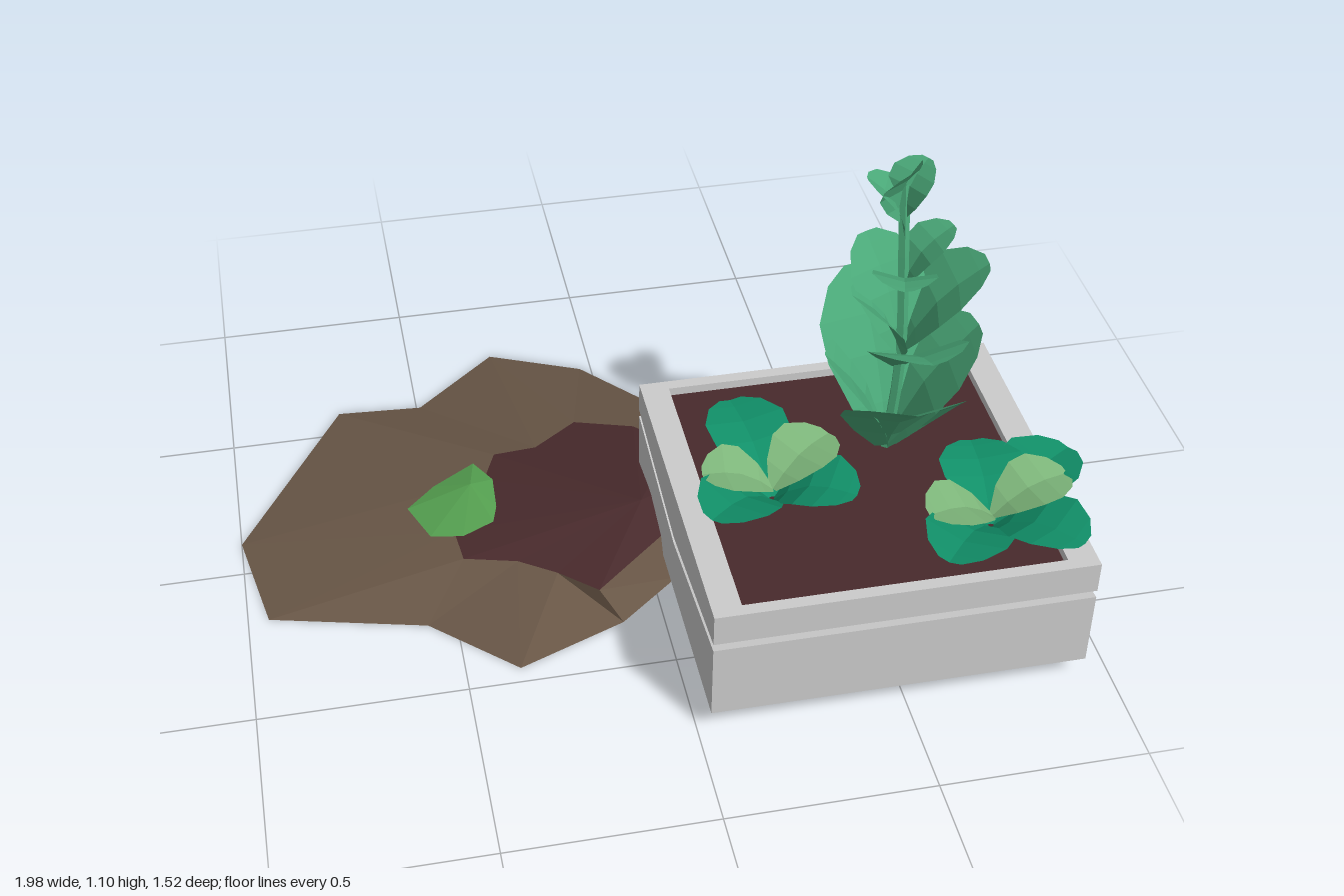
import * as THREE from 'three';

const paint = (color, side = THREE.FrontSide) =>
  new THREE.MeshStandardMaterial({ color, side, flatShading: true });
const V = (a) => new THREE.Vector3(...a);

// Mesh from a list of rings (equal point counts), optionally ended by an apex
function fromRings(name, rings, apex, material, closed = true) {
  const n = rings[0].length, pos = [];
  const last = closed ? n : n - 1;
  const tri = (...p) => p.forEach((q) => pos.push(...q));
  for (let i = 0; i < last; i++) {
    const j = (i + 1) % n;
    for (let r = 0; r < rings.length - 1; r++) {
      const a = rings[r], b = rings[r + 1];
      tri(a[i], b[j], a[j]);
      tri(a[i], b[i], b[j]);
    }
    if (apex) tri(rings[rings.length - 1][i], apex, rings[rings.length - 1][j]);
  }
  const geo = new THREE.BufferGeometry();
  geo.setAttribute('position', new THREE.Float32BufferAttribute(pos, 3));
  geo.computeVertexNormals();
  const mesh = new THREE.Mesh(geo, material);
  mesh.name = name;
  return mesh;
}

// Folded leaf from base to tip; it rises first, then bends outwards
const OUTLINE = [[0, 0.15], [0.22, 0.62], [0.5, 0.97], [0.72, 1], [0.91, 0.68], [1, 0.28]];
function leaf(name, base, tip, width, bow, material) {
  const a = V(base), b = V(tip), dir = b.clone().sub(a).normalize();
  const side = new THREE.Vector3(0, 1, 0).cross(dir).normalize();
  const normal = dir.clone().cross(side);
  const rings = OUTLINE.map(([t, w]) => {
    const mid = a.clone().lerp(b, t).addScaledVector(normal, bow * Math.sin(Math.PI * t));
    return [-1, 0, 1].map((s) => mid.clone()
      .addScaledVector(side, (s * w * width) / 2)
      .addScaledVector(normal, Math.abs(s) * w * width * 0.1).toArray());
  });
  return fromRings(name, rings, null, material, false);
}

function box(name, w, h, d, x, y, z, material) {
  const mesh = new THREE.Mesh(new THREE.BoxGeometry(w, h, d), material);
  mesh.position.set(x, y, z);
  mesh.name = name;
  return mesh;
}

// Side profile (z, y) extruded along x
function slab(name, points, x, width, z, material) {
  const shape = new THREE.Shape(points.map(([u, v]) => new THREE.Vector2(u, v)));
  const geo = new THREE.ExtrudeGeometry(shape, { depth: width, bevelEnabled: false });
  const mesh = new THREE.Mesh(geo.rotateY(Math.PI / 2), material);
  mesh.position.set(x, 0, z);
  mesh.name = name;
  return mesh;
}

function planter(soil) {
  const g = new THREE.Group(), grey = paint(0xcccccc), h = 0.425, z = 0.315;
  g.name = 'planter';
  g.add(slab('planterBase', [[-h, 0.06], [h, 0.06], [h, 0.26], [0, 0.205], [-h, 0.26]], 0.03, 0.905, z, grey));
  for (const x of [0.03, 0.865]) {
    g.add(slab('rimSide', [[-h, 0.28], [0, 0.225], [h, 0.28], [h, 0.362], [-h, 0.362]], x, 0.07, z, grey));
  }
  for (const s of [-1, 1]) {
    g.add(box('rimEnd', 0.765, 0.082, 0.03, 0.4825, 0.321, z + s * 0.41, grey));
  }
  g.add(box('planterSoil', 0.765, 0.03, 0.79, 0.4825, 0.325, z, soil));
  return g;
}

function mound(soil) {
  const g = new THREE.Group();
  g.name = 'mound';
  const foot = [[-1, -0.11], [-0.71, -0.59], [-0.49, -0.575], [-0.27, -0.765], [-0.03, -0.66],
    [0.15, -0.455], [0.205, -0.17], [0.17, 0.05], [0.06, 0.22], [-0.1, 0.35],
    [-0.37, 0.455], [-0.57, 0.27], [-0.95, 0.175]].map(([x, z]) => [x, 0, z]);
  const rim = [[-0.47, 0.068, 0.02], [-0.37, 0.08, -0.15], [-0.33, 0.075, -0.25], [-0.22, 0.082, -0.25],
    [-0.1, 0.068, -0.35], [0.05, 0.078, -0.29], [0.13, 0.09, -0.19], [0.12, 0.1, -0.02], [0.03, 0.1, 0.17],
    [-0.15, 0.07, 0.3], [-0.24, 0.07, 0.22], [-0.33, 0.07, 0.16], [-0.46, 0.065, 0.12]];
  const earth = paint(0x685646);
  g.add(fromRings('moundSlope', [foot, rim], null, earth));
  g.add(fromRings('moundSoil', [rim], [0, 0.138, 0.07], soil));
  g.add(fromRings('moundUnderside', [foot.slice().reverse()], [-0.4, 0, -0.1], earth));
  // Grass tuft on the slope
  const tuft = [[-0.575, 0.058, -0.1], [-0.5, 0.07, -0.16], [-0.39, 0.088, -0.21], [-0.35, 0.095, -0.13],
    [-0.355, 0.09, -0.03], [-0.37, 0.085, 0.02], [-0.45, 0.072, 0.045], [-0.53, 0.062, 0.02]];
  g.add(fromRings('grassTuft', [tuft], [-0.41, 0.106, -0.11], paint(0x55a050, THREE.DoubleSide)));
  return g;
}

function tallPlant() {
  const g = new THREE.Group(), green = paint(0x4aa878, THREE.DoubleSide);
  g.name = 'tallPlant';
  const stem = new THREE.CatmullRomCurve3([[0.58, 0.33, 0.21], [0.6, 0.6, 0.2], [0.6, 0.85, 0.16], [0.6, 1.04, 0.12]].map(V));
  const tube = new THREE.Mesh(new THREE.TubeGeometry(stem, 8, 0.014, 5), green);
  tube.name = 'stem';
  g.add(tube);
  // Stem position, tip, width
  const leaves = [
    [0, [0.56, 0.64, 0.47], 0.29], [0.02, [0.79, 0.67, 0.2], 0.3],
    [0.03, [0.55, 0.73, -0.02], 0.28], [0.02, [0.42, 0.62, 0.18], 0.26],
    [0.3, [0.6, 0.75, 0.43], 0.23], [0.36, [0.79, 0.86, 0.22], 0.24],
    [0.35, [0.54, 0.87, 0.05], 0.2], [0.34, [0.47, 0.8, 0.2], 0.2],
    [0.58, [0.55, 0.89, 0.33], 0.15], [0.58, [0.72, 0.93, 0.15], 0.13],
    [0.84, [0.62, 1.1, 0.16], 0.16], [0.78, [0.51, 1.07, 0.12], 0.13],
    [0.86, [0.66, 1.09, 0.1], 0.12],
  ];
  for (const [t, tip, width] of leaves) {
    g.add(leaf('tallLeaf', stem.getPoint(t).toArray(), tip, width, 0.025, green));
  }
  return g;
}

// Low rosette: dark outer leaves and light inner leaves as [x, z] tips
function rosette(x, z, outer, inner) {
  const g = new THREE.Group();
  g.name = 'lowPlant';
  const dark = paint(0x118f68, THREE.DoubleSide), light = paint(0x7fb87c, THREE.DoubleSide);
  for (const [u, v] of outer) g.add(leaf('outerLeaf', [x, 0.335, z], [u, 0.425, v], 0.2, 0.035, dark));
  for (const [u, v] of inner) g.add(leaf('innerLeaf', [x, 0.37, z], [u, 0.435, v], 0.17, 0.025, light));
  return g;
}

export function createModel() {
  const model = new THREE.Group();
  model.name = 'gardenPlanter';
  const soil = paint(0x482a2c);
  model.add(planter(soil), mound(soil), tallPlant());
  model.add(rosette(0.26, 0.35, [[0.22, 0.07], [0.08, 0.49], [0.43, 0.47]], [[0.09, 0.34], [0.42, 0.25]]));
  model.add(rosette(0.74, 0.54, [[0.57, 0.73], [0.89, 0.73], [0.97, 0.4], [0.75, 0.33]], [[0.57, 0.58], [0.93, 0.5]]));
  return model;
}
